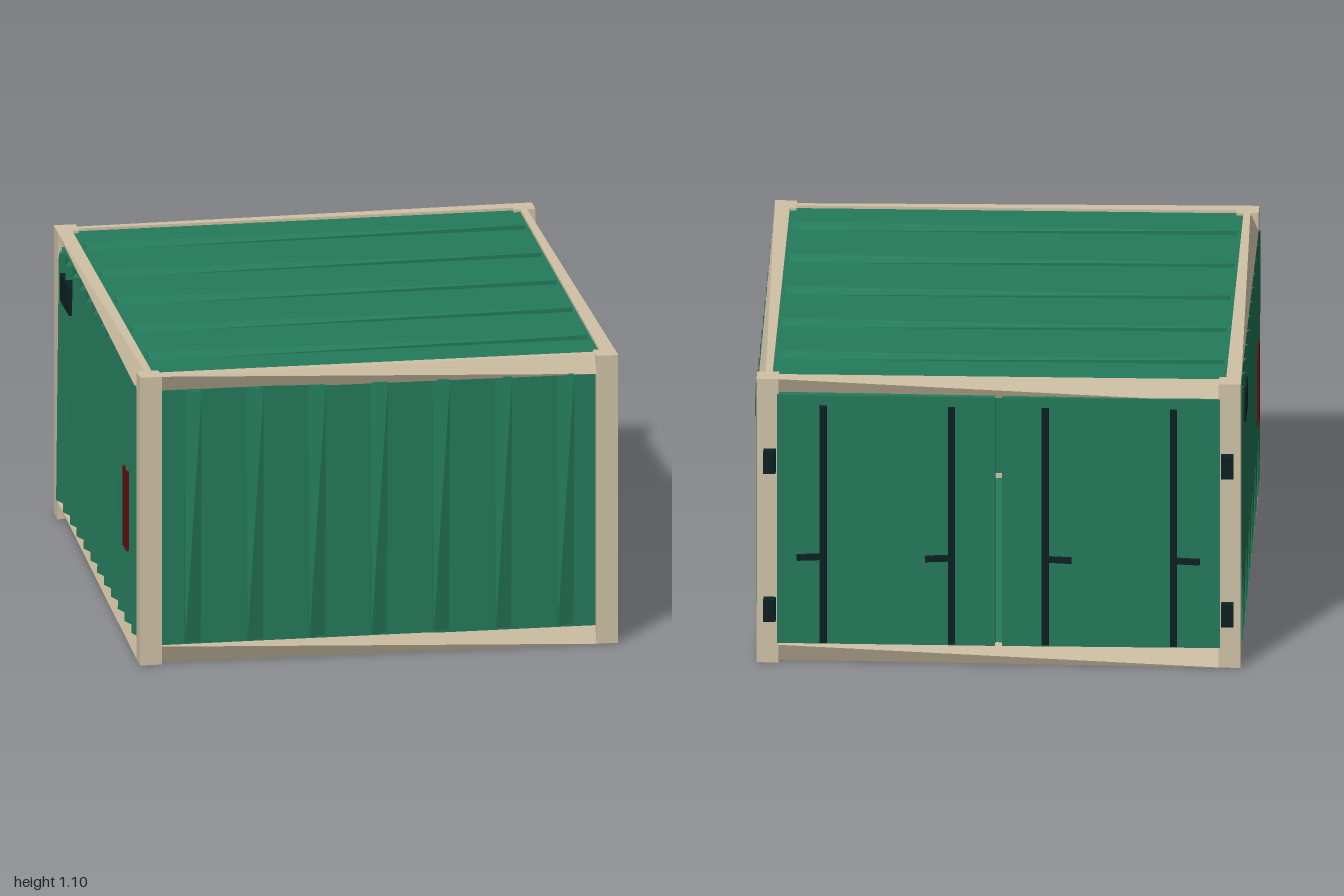
import * as THREE from 'three';

const mat = (name, color) => {
  const m = new THREE.MeshStandardMaterial({ color });
  m.name = name;
  return m;
};

export function createModel() {
  const green = mat('green paint', 0x247a5b);
  const beige = mat('beige frame', 0xd0c2a6);
  const red = mat('dark red', 0x620e10);
  const blue = mat('blue glass', 0x3d93cd);
  const dark = mat('dark metal', 0x0c2023);

  const model = new THREE.Group();
  model.name = 'container';

  const add = (parent, name, geometry, material, x = 0, y = 0, z = 0) => {
    const mesh = new THREE.Mesh(geometry, material);
    mesh.name = name;
    mesh.position.set(x, y, z);
    parent.add(mesh);
    return mesh;
  };

  // Box whose outer face lies at z = 0
  const plate = (w, h, d) => new THREE.BoxGeometry(w, h, d).translate(0, 0, -d / 2);

  // Upright bar with two opposite outer corners pushed in, so its face twists
  const twistedBar = (w, length, d, cut) => {
    const g = new THREE.BoxGeometry(w, length, d).toNonIndexed();
    const p = g.attributes.position;
    for (let i = 0; i < p.count; i++) {
      if (p.getZ(i) > 0 && p.getX(i) * p.getY(i) < 0) p.setZ(i, p.getZ(i) - cut);
    }
    g.translate(0, 0, -d / 2);
    g.computeVertexNormals();
    return g;
  };

  // Each side is a group whose local +z points outward
  const side = (name, x, z, turn) => {
    const g = new THREE.Group();
    g.name = name;
    g.position.set(x, 0, z);
    g.rotation.y = turn;
    model.add(g);
    return g;
  };
  const CX = -0.007, CZ = 0.025;
  const front = side('frontSide', CX, 0.99, 0);
  const back = side('backSide', CX, -0.94, Math.PI);
  const right = side('rightSide', 0.87, CZ, Math.PI / 2);
  const left = side('leftSide', -0.885, CZ, -Math.PI / 2);

  // Corner posts
  for (const x of [-0.845, 0.831]) {
    for (const z of [-0.9, 0.95]) {
      add(model, 'cornerPost', new THREE.BoxGeometry(0.08, 1.09, 0.08), beige, x, 0.545, z);
    }
  }

  // Rails between the posts, top and bottom
  for (const [group, length] of [[front, 1.61], [back, 1.61], [right, 1.79], [left, 1.79]]) {
    for (const y of [0.034, 1.056]) {
      const rail = twistedBar(0.068, length, 0.055, 0.03).rotateZ(Math.PI / 2);
      add(group, 'rail', rail, beige, 0, y, 0);
    }
  }

  // Ribbed walls
  const ribbedWall = (group, width, first, step, count) => {
    add(group, 'wallPanel', plate(width, 0.965, 0.03), green, 0, 0.548, -0.018);
    for (let i = 0; i < count; i++) {
      const rib = twistedBar(0.06, 0.95, 0.03, 0.023);
      add(group, 'wallRib', rib, green, first + i * step, 0.553, 0.007);
    }
  };
  ribbedWall(front, 1.62, -0.683, 0.228, 7);
  ribbedWall(right, 1.79, -0.84, 0.153, 12);
  ribbedWall(left, 1.79, -0.84, 0.153, 12);

  // Roof and floor
  const roof = new THREE.Group();
  roof.name = 'roof';
  roof.position.set(CX, 1.09, CZ);
  roof.rotation.x = -Math.PI / 2;
  model.add(roof);
  add(roof, 'roofPanel', plate(1.66, 1.82, 0.03), green, 0, 0, -0.01);
  for (let i = 0; i < 5; i++) {
    const rib = twistedBar(0.05, 1.61, 0.025, 0.018).rotateZ(Math.PI / 2);
    add(roof, 'roofRib', rib, green, 0, -0.697 + i * 0.348, 0.006);
  }
  add(model, 'floor', new THREE.BoxGeometry(1.66, 0.03, 1.83), green, CX, 0.035, CZ);

  // Window on the right side, leaning out slightly at the top
  const win = new THREE.Group();
  win.name = 'window';
  win.position.set(-0.225, 0.345, -0.002);
  win.rotation.x = 0.026;
  right.add(win);
  const rect = (target, x0, y0, x1, y1) => {
    target.moveTo(x0, y0);
    target.lineTo(x1, y0);
    target.lineTo(x1, y1);
    target.lineTo(x0, y1);
    target.closePath();
    return target;
  };
  const outline = rect(new THREE.Shape(), -0.35, 0, 0.35, 0.455);
  outline.holes.push(rect(new THREE.Path(), -0.285, 0.055, 0.29, 0.4));
  const frame = new THREE.ExtrudeGeometry(outline, { depth: 0.009, bevelEnabled: false });
  add(win, 'windowFrame', frame.translate(0, 0, -0.009), red);
  add(win, 'windowGlass', plate(0.577, 0.347, 0.009), blue, 0.002, 0.227, 0.006);
  const mullion = new THREE.Shape([
    new THREE.Vector2(-0.01, 0.4), new THREE.Vector2(-0.003, 0.09),
    new THREE.Vector2(0.005, 0.09), new THREE.Vector2(0.012, 0.4),
  ]);
  const bar = new THREE.ExtrudeGeometry(mullion, { depth: 0.009, bevelEnabled: false });
  add(win, 'windowDivider', bar, dark, 0, 0, 0.005);

  // Red panels and dark vents on both long sides
  add(right, 'redPanel', plate(0.09, 0.305, 0.009), red, -0.7, 0.33, 0.01);
  add(right, 'redPanel', plate(0.09, 0.39, 0.009), red, 0.39, 0.37, 0.01);
  add(right, 'vent', plate(0.195, 0.105, 0.03), dark, 0.65, 0.922, 0.012);
  add(left, 'redPanel', plate(0.09, 0.3, 0.009), red, 0.675, 0.51, 0.01);
  add(left, 'vent', plate(0.195, 0.105, 0.03), dark, -0.65, 0.922, 0.012);

  // Back doors with lock rods, handles and hinges, mirrored about the seam
  for (const s of [-1, 1]) {
    const door = add(back, 'door', plate(0.79, 0.955, 0.04), green, s * 0.408, 0.555, 0.009);
    door.rotation.y = s * 0.006;
    for (const x of [0.17, 0.635]) {
      add(back, 'lockRod', plate(0.026, 0.91, 0.014), dark, s * x, 0.545, 0.038);
      for (const y of [0.17, 0.92]) {
        add(back, 'rodBracket', plate(0.024, 0.03, 0.022), dark, s * x, y, 0.028);
      }
      const handle = add(back, 'rodHandle', plate(0.09, 0.022, 0.012), dark, s * (x + 0.05), 0.42, 0.043);
      handle.rotation.y = -s * 0.12;
    }
    for (const y of [0.21, 0.78]) {
      add(back, 'hinge', plate(0.045, 0.085, 0.04), dark, s * 0.83, y, 0.036);
    }
  }

  return model;
}
